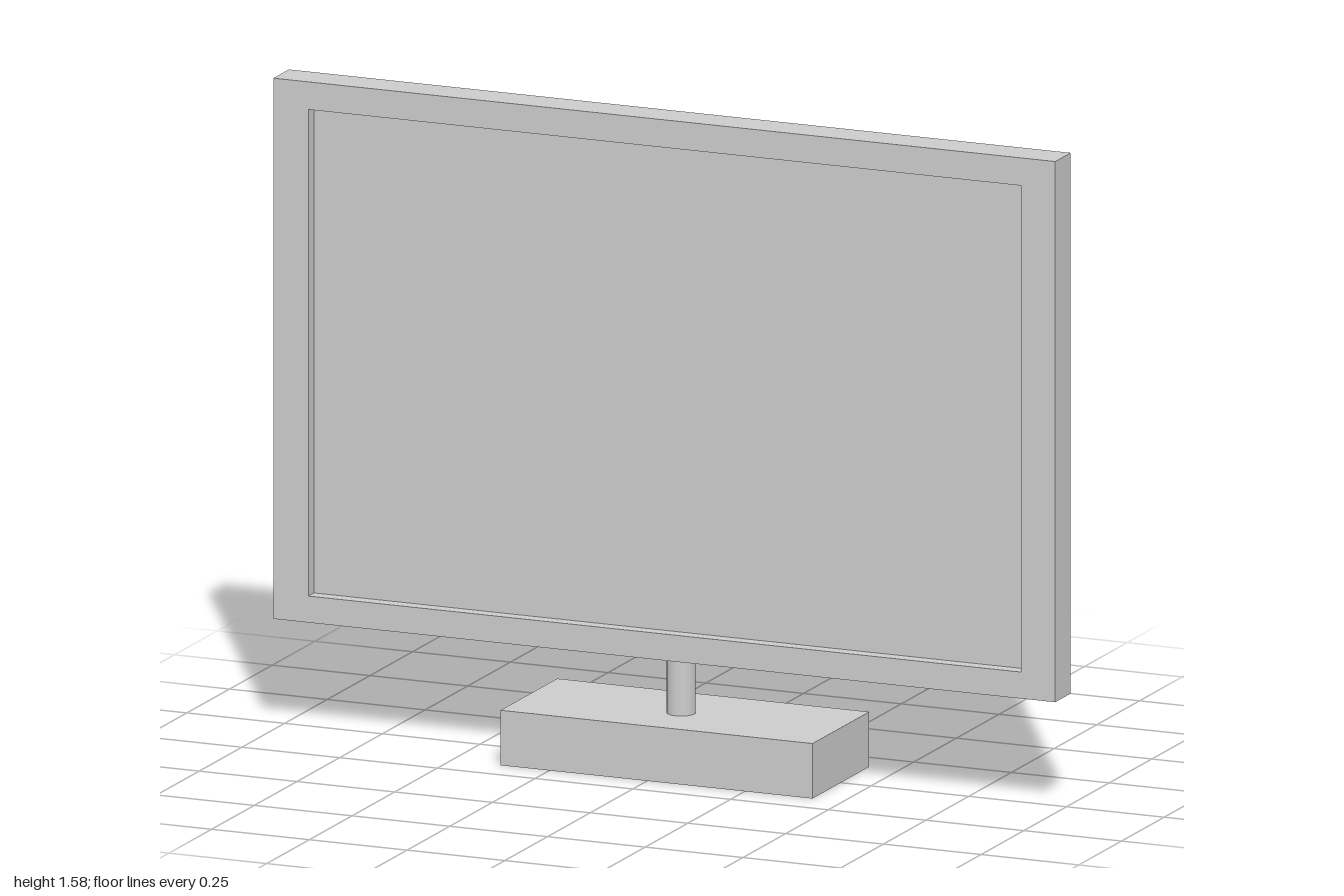
import * as THREE from 'three';

const material = new THREE.MeshStandardMaterial({ color: 0xcccccc });

// Box given by its lower and upper limits on each axis
function box(name, [x0, x1], [y0, y1], [z0, z1]) {
  const mesh = new THREE.Mesh(new THREE.BoxGeometry(x1 - x0, y1 - y0, z1 - z0), material);
  mesh.name = name;
  mesh.position.set((x0 + x1) / 2, (y0 + y1) / 2, (z0 + z1) / 2);
  return mesh;
}

// Rectangle outline for shapes and holes
function rectangle(Type, [x0, x1], [y0, y1]) {
  return new Type([
    new THREE.Vector2(x0, y0), new THREE.Vector2(x1, y0),
    new THREE.Vector2(x1, y1), new THREE.Vector2(x0, y1),
  ]);
}

export function createModel() {
  const model = new THREE.Group();
  model.name = 'monitor';

  const width = [-1, 1], height = [0.268, 1.575];
  const back = -0.025, screen = 0.033, front = 0.066;
  const baseTop = 0.133, standX = 0.022;

  // Display body; its front face is the recessed screen
  model.add(box('screenPanel', width, height, [back, screen]));

  // Raised bezel around the screen
  const outline = rectangle(THREE.Shape, width, height);
  outline.holes.push(rectangle(THREE.Path, [-0.91, 0.913], [0.332, 1.508]));
  const bezel = new THREE.Mesh(
    new THREE.ExtrudeGeometry(outline, { depth: front - screen, bevelEnabled: false }),
    material);
  bezel.name = 'bezel';
  bezel.position.z = screen;
  model.add(bezel);

  // Round stand post between base and display
  const postHeight = height[0] - baseTop;
  const post = new THREE.Mesh(
    new THREE.CylinderGeometry(0.034, 0.034, postHeight, 32), material);
  post.name = 'standPost';
  post.position.set(standX, baseTop + postHeight / 2, 0.017);
  model.add(post);

  // Foot block, slightly off centre like the post
  model.add(box('base', [-0.375, 0.423], [0, baseTop], [-0.166, 0.166]));

  return model;
}
